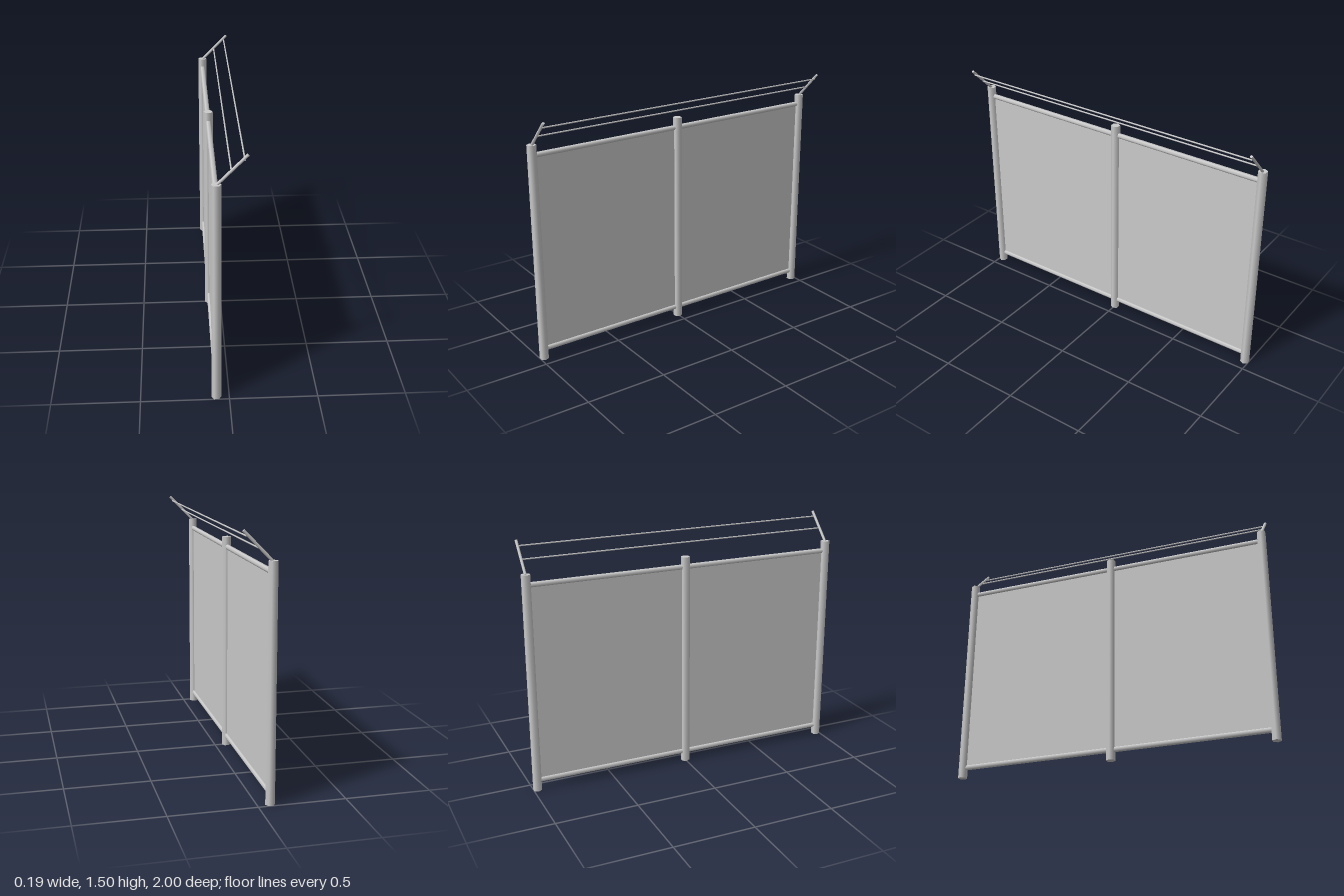
import * as THREE from 'three';

const X = -0.0725;      // plane of the fence
const END_Z = 0.976;    // centre of the end posts

export function createModel() {
  const model = new THREE.Group();
  const grey = new THREE.MeshStandardMaterial({ color: 0xcccccc });
  const sheet = new THREE.MeshStandardMaterial({ color: 0xcccccc, side: THREE.DoubleSide });

  // Six-sided bar between two points, with corners towards +x and -x when upright or along z
  function bar(name, from, to, radius) {
    const a = new THREE.Vector3(...from), b = new THREE.Vector3(...to);
    const dir = b.clone().sub(a);
    const geometry = new THREE.CylinderGeometry(radius, radius, dir.length(), 6, 1, false, Math.PI / 6);
    const mesh = new THREE.Mesh(geometry, grey);
    mesh.name = name;
    mesh.position.copy(a).add(b).multiplyScalar(0.5);
    mesh.quaternion.setFromUnitVectors(new THREE.Vector3(0, 1, 0), dir.normalize());
    model.add(mesh);
  }

  // Upright posts
  for (const z of [-END_Z, 0, END_Z]) bar('post', [X, 0, z], [X, 1.335, z], 0.0275);

  // Rails and mesh panel of each bay
  for (const side of [-1, 1]) {
    bar('topRail', [X, 1.273, 0], [X, 1.273, side * END_Z], 0.0155);
    bar('bottomRail', [X, 0.065, 0], [X, 0.065, side * END_Z], 0.0155);

    const panel = new THREE.Mesh(new THREE.PlaneGeometry(END_Z, 1.208), sheet);
    panel.name = 'panel';
    panel.rotation.y = -Math.PI / 2;
    panel.position.set(X, 0.669, side * END_Z / 2);
    model.add(panel);

    // Slanted arm on the end post
    bar('arm', [-0.069, 1.333, side * END_Z], [0.088, 1.494, side * END_Z], 0.0085);
  }

  // Wires strung under the arms
  for (const [x, y] of [[0.005, 1.402], [0.072, 1.465]]) {
    bar('wire', [x, y, -END_Z], [x, y, END_Z], 0.0045);
  }
  return model;
}
